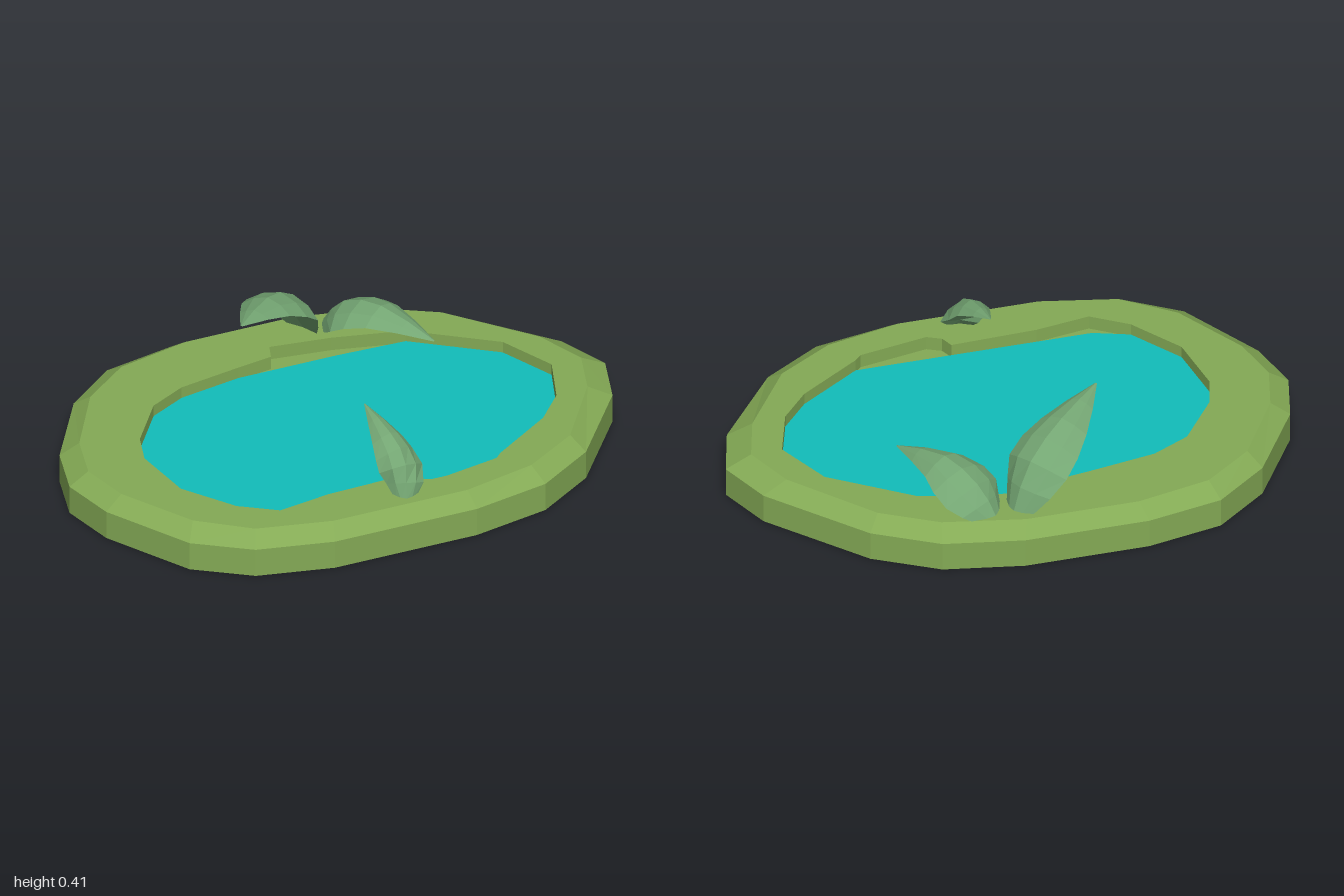
import * as THREE from 'three';

const mat = (name, color) => {
  const m = new THREE.MeshStandardMaterial({ color });
  m.name = name;
  return m;
};

// Outlines as [x, z], running from the right end round the back to the left end and front
const OUTER = [[-1, 0], [-.95, -.2], [-.77, -.49], [-.58, -.64], [-.31, -.695], [.13, -.695],
  [.41, -.64], [.63, -.51], [.92, -.19], [1, 0], [.94, .2], [.71, .5], [.5, .635], [.22, .69],
  [-.31, .69], [-.58, .63], [-.77, .5], [-.95, .2]];
const CREST = [[-.93, 0], [-.885, -.18], [-.73, -.44], [-.555, -.575], [-.29, -.635], [.11, -.635],
  [.395, -.575], [.59, -.46], [.835, -.18], [.91, 0], [.855, .18], [.675, .445], [.475, .57],
  [.21, .63], [-.29, .63], [-.555, .57], [-.73, .435], [-.885, .18]];
const HOLE = [[-.72, 0], [-.685, -.12], [-.555, -.3], [-.42, -.37], [-.19, -.41], [-.06, -.43],
  [-.04, -.49], [.18, -.46], [.43, -.4], [.705, -.2], [.8, 0], [.735, .19], [.635, .305],
  [.41, .455], [.385, .48], [.14, .525], [.09, .5], [.07, .455], [-.235, .465], [-.43, .495],
  [-.555, .41], [-.685, .23]];

// Faceted skin through a list of closed loops
function loft(loops) {
  const pos = [];
  for (let k = 0; k < loops.length - 1; k++) {
    const a = loops[k], b = loops[k + 1], n = a.length;
    for (let i = 0; i < n; i++) {
      const j = (i + 1) % n;
      for (const p of [a[j], a[i], b[i], a[j], b[i], b[j]]) pos.push(p.x, p.y, p.z);
    }
  }
  const g = new THREE.BufferGeometry();
  g.setAttribute('position', new THREE.Float32BufferAttribute(pos, 3));
  g.computeVertexNormals();
  return g;
}

const loop = (pts, y) => pts.map(([x, z]) => new THREE.Vector3(x, y, z));

// Flat horizontal face, facing up or down, with an optional hole
function plate(pts, y, hole, down = false) {
  const flat = (q) => q.map(([x, z]) => new THREE.Vector2(x, down ? z : -z));
  const s = new THREE.Shape(flat(pts));
  if (hole) s.holes.push(new THREE.Path(flat(hole)));
  return new THREE.ShapeGeometry(s).rotateX(down ? Math.PI / 2 : -Math.PI / 2).translate(0, y, 0);
}

// Arched pointed leaf: a crescent section swept along a curve
function leafGeometry(points, halfWidth, thick) {
  const curve = new THREE.CatmullRomCurve3(points.map((p) => new THREE.Vector3(...p)));
  const widths = [.42, .8, 1, .95, .74, .42, .03];
  const section = [[1, 0], [.55, .65], [0, 1], [-.55, .65], [-1, 0], [0, .2]];
  const loops = widths.map((w, i) => {
    const u = i / (widths.length - 1);
    const c = curve.getPoint(u), t = curve.getTangent(u);
    const side = t.clone().cross(new THREE.Vector3(0, 1, 0)).normalize();
    const up = side.clone().cross(t);
    return section.map(([s, n]) => c.clone()
      .addScaledVector(side, s * w * halfWidth)
      .addScaledVector(up, (n - .5) * w * thick));
  });
  return loft(loops);
}

export function createModel() {
  const model = new THREE.Group();
  model.name = 'pond';
  const grass = mat('grass green', 0x84aa55);
  const water = mat('water turquoise', 0x11beba);
  const foliage = mat('leaf green', 0x74a673);
  foliage.side = THREE.DoubleSide;
  grass.flatShading = foliage.flatShading = true;

  const add = (parent, name, geometry, material) => {
    const m = new THREE.Mesh(geometry, material);
    m.name = name;
    parent.add(m);
  };

  // Bank: outer wall with bevel, top, inner wall, pond bed and underside
  const bank = new THREE.Group();
  bank.name = 'bank';
  model.add(bank);
  add(bank, 'outerWall', loft([loop(OUTER, 0), loop(OUTER, .105), loop(CREST, .15)]), grass);
  add(bank, 'bankTop', plate(CREST, .15, HOLE), grass);
  add(bank, 'innerWall', loft([loop(HOLE, .15), loop(HOLE, .1)]), grass);
  add(bank, 'pondBed', plate(HOLE, .1), grass);
  add(bank, 'underside', plate(OUTER, 0, null, true), grass);

  // Water surface stops short of the two notches in the bank
  const surface = HOLE.map(([x, z]) => [x, THREE.MathUtils.clamp(z, -.41, .455)]);
  add(model, 'water', plate(surface, .108), water);

  // Leaves arching over the water
  const leaves = [
    ['backRightLeaf', [[.13, .14, -.57], [.05, .29, -.52], [-.08, .375, -.42], [-.24, .41, -.27]], .125, .06],
    ['backLeftLeaf', [[.21, .14, -.58], [.26, .22, -.51], [.33, .265, -.38], [.445, .225, -.19]], .125, .06],
    ['frontLeaf', [[0, .14, .59], [.015, .235, .53], [0, .31, .44], [-.02, .355, .28]], .08, .06],
  ];
  for (const [name, points, w, t] of leaves) add(model, name, leafGeometry(points, w, t), foliage);
  return model;
}
